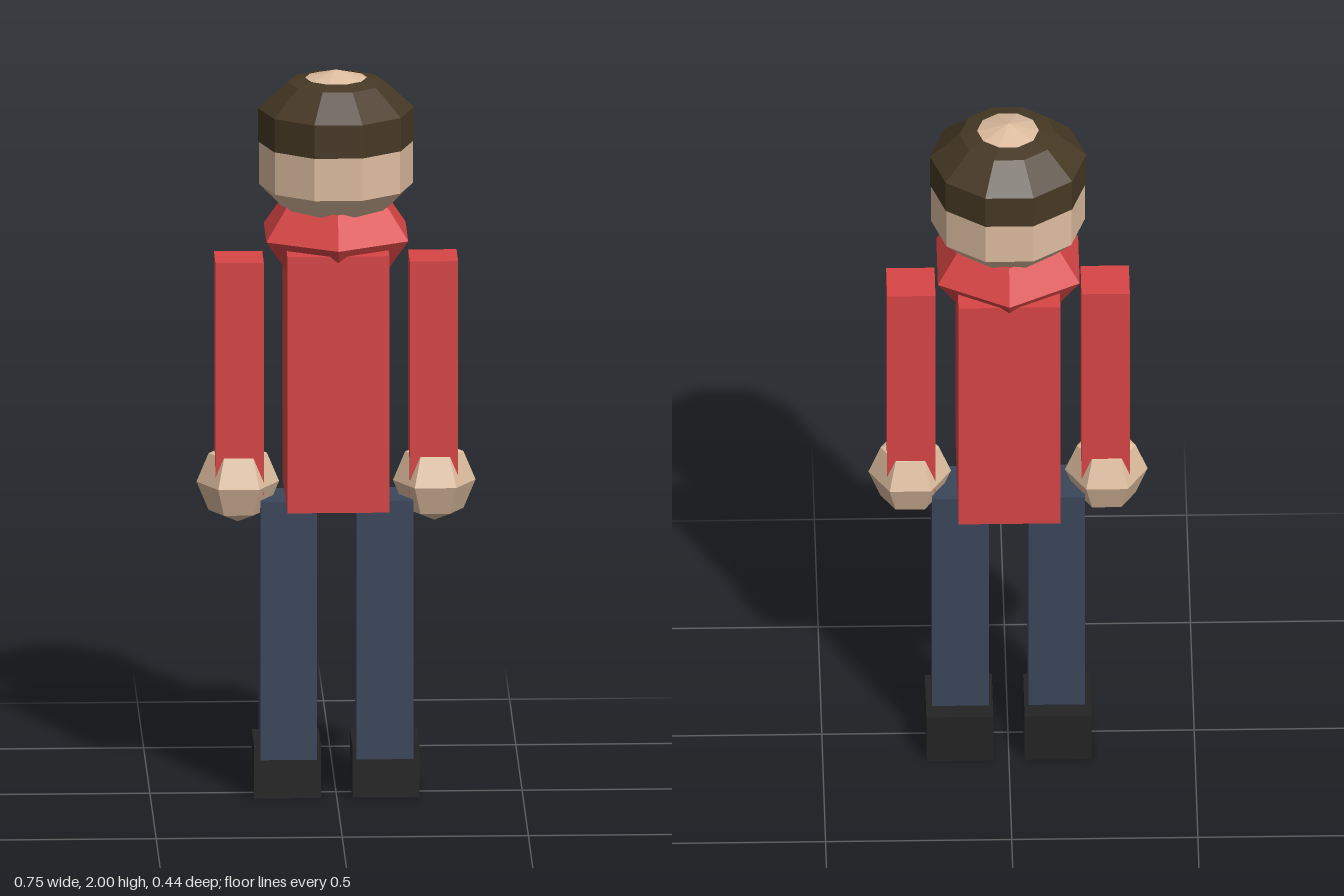
import * as THREE from 'three';

const material = (name, color) => {
  const m = new THREE.MeshStandardMaterial({ color, flatShading: true });
  m.name = name;
  return m;
};

export function createModel() {
  const red = material('red cloth', 0xd84545);
  const blue = material('blue trousers', 0x3a465b);
  const black = material('black leather', 0x242424);
  const skin = material('skin', 0xdebd9f);
  const brown = material('brown hair', 0x463824);
  brown.side = THREE.DoubleSide;

  const group = new THREE.Group();
  const add = (name, geometry, mat, x = 0, y = 0, z = 0) => {
    const mesh = new THREE.Mesh(geometry, mat);
    mesh.name = name;
    mesh.position.set(x, y, z);
    group.add(mesh);
    return mesh;
  };
  // Ten-sided turned shape with corners on the x axis
  const turned = (points) => new THREE.LatheGeometry(
    points.map(([r, y]) => new THREE.Vector2(r, y)), 10, Math.PI / 2);

  // Torso and faceted collar
  add('torso', new THREE.BoxGeometry(0.274, 0.71, 0.384), red, 0, 1.175);
  const collar = new THREE.TorusGeometry(0.13, 0.09, 5, 6);
  collar.rotateX(Math.PI / 2).rotateY(Math.PI / 2);
  add('collar', collar, red, 0, 1.55);

  // Head, with the crown showing through the open top of the hair
  add('head', turned([[0, 1.58], [0.13, 1.608], [0.207, 1.685], [0.207, 1.893],
    [0.13, 1.963], [0, 2]]), skin);
  add('hair', turned([[0.207, 1.803], [0.21, 1.803], [0.21, 1.895],
    [0.13, 1.967], [0.083, 1.978]]), brown);

  // Limbs, mirrored
  for (const [side, s] of [['left', 1], ['right', -1]]) {
    add(side + 'Arm', new THREE.BoxGeometry(0.13, 0.643, 0.132), red, s * 0.261, 1.1615);
    add(side + 'Hand', new THREE.SphereGeometry(0.111, 6, 4), skin, s * 0.264, 0.862);
    add(side + 'Leg', new THREE.BoxGeometry(0.152, 0.715, 0.154), blue, s * 0.129, 0.4655);
    add(side + 'Shoe', new THREE.BoxGeometry(0.18, 0.143, 0.198), black, s * 0.132, 0.0715, -0.031);
  }
  return group;
}
